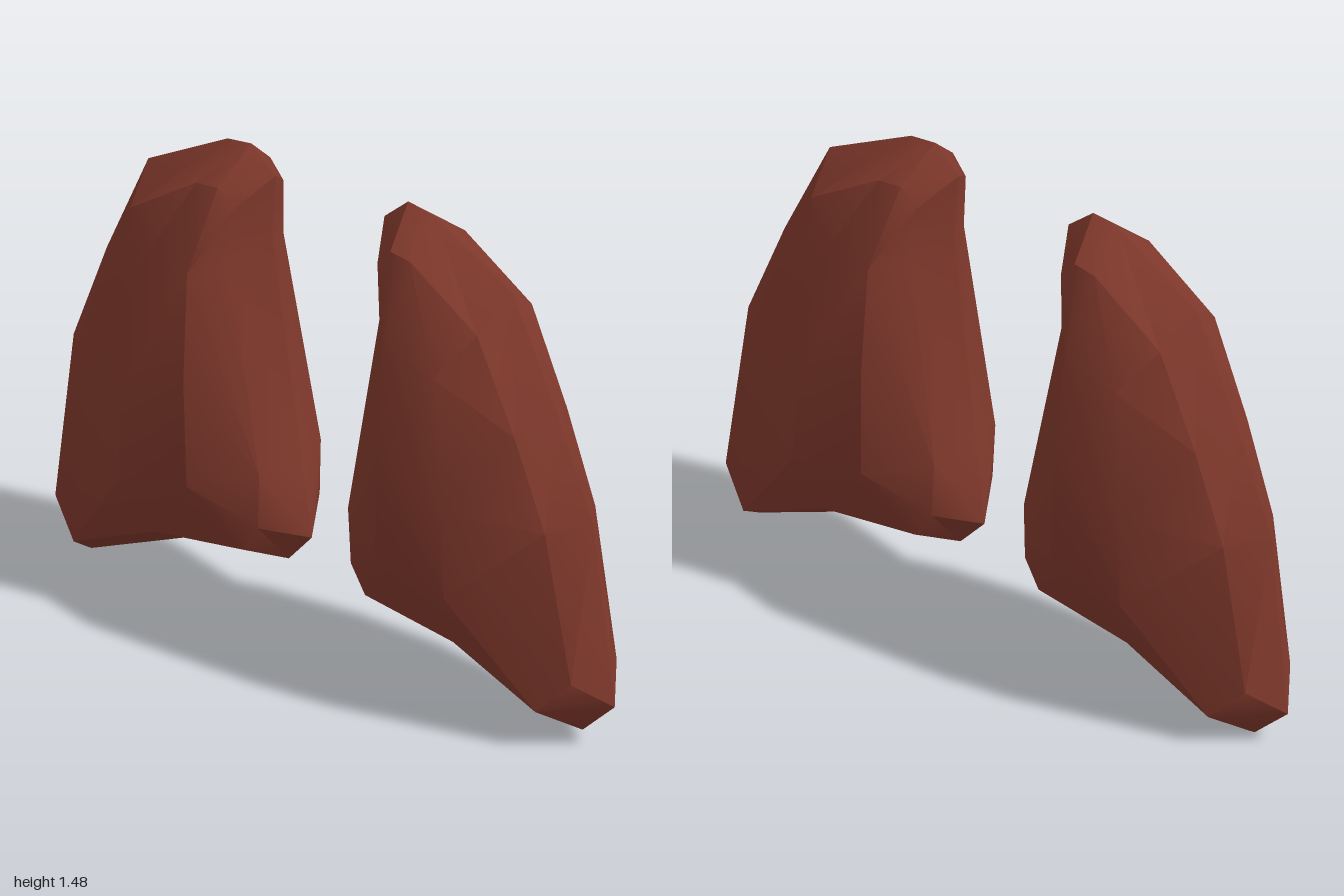
import * as THREE from 'three';
import { toCreasedNormals } from 'three/addons/utils/BufferGeometryUtils.js';

// Outer rim of one lung at z = 0, from the inner top, clockwise
const rim = [
  [0.17, 1.41], [0.255, 1.485], [0.34, 1.475], [0.63, 1.325], [0.79, 1.0], [0.92, 0.69], [0.995, 0.145],
  [0.88, 0.035], [0.53, 0.175], [0.165, 0.22], [0.08, 0.31], [0.105, 0.53], [0.19, 1.21],
].map(([x, y]) => [x, y, 0]);

// Bevel ring, one point for each rim point
const ring = [
  [0.235, 1.33, 0.11], [0.285, 1.385, 0.115], [0.36, 1.38, 0.12], [0.6, 1.23, 0.12], [0.73, 0.95, 0.115],
  [0.835, 0.68, 0.11], [0.92, 0.23, 0.1], [0.825, 0.13, 0.14], [0.53, 0.25, 0.14], [0.215, 0.29, 0.14],
  [0.16, 0.37, 0.135], [0.15, 0.54, 0.135], [0.25, 1.16, 0.12],
];

// Raised middle: three rows, inner then outer point
const crown = [
  [0.33, 1.14, 0.205], [0.51, 1.1, 0.205],
  [0.33, 0.82, 0.235], [0.56, 0.71, 0.235],
  [0.33, 0.49, 0.235], [0.575, 0.44, 0.235],
];

function lungGeometry(side) {
  const positions = [];
  const [a, b, c, d, e, f] = crown;
  const r = ring;
  const n = rim.length;

  const faces = [
    // Crown
    [a, c, d, b], [c, e, f, d],
    // Top slope
    [r[12], r[0], a], [r[0], r[1], a], [r[1], r[2], a], [r[2], r[3], b, a],
    // Outer slope
    [r[3], r[4], b], [r[4], r[5], d, b], [r[5], r[6], f, d],
    // Bottom slope
    [r[6], r[7], f], [r[7], r[8], f], [r[8], r[9], e, f],
    // Inner slope
    [r[9], r[10], e], [r[10], r[11], e], [r[11], c, e], [r[11], r[12], a, c],
  ];
  // Bevel between rim and ring
  for (let i = 0; i < n; i++) {
    const j = (i + 1) % n;
    faces.push([rim[i], rim[j], r[j], r[i]]);
  }

  // Every front triangle faces +z; the back is its mirror image
  const addTriangle = (p, q, s) => {
    const cross = (q[0] - p[0]) * (s[1] - p[1]) - (q[1] - p[1]) * (s[0] - p[0]);
    const front = cross * side > 0 ? [p, q, s] : [p, s, q];
    const back = [front[0], front[2], front[1]];
    front.forEach(([x, y, z]) => positions.push(side * x, y, z));
    back.forEach(([x, y, z]) => positions.push(side * x, y, -z));
  };
  for (const face of faces) {
    for (let k = 1; k < face.length - 1; k++) addTriangle(face[0], face[k], face[k + 1]);
  }

  const geometry = new THREE.BufferGeometry();
  geometry.setAttribute('position', new THREE.Float32BufferAttribute(positions, 3));
  return toCreasedNormals(geometry, 0.5);
}

export function createModel() {
  const model = new THREE.Group();
  model.name = 'lungs';
  const material = new THREE.MeshStandardMaterial({ color: 0x833a2d });

  const leftLung = new THREE.Mesh(lungGeometry(1), material);
  leftLung.name = 'leftLung';

  // The right lung is mirrored and tilted slightly
  const rightLung = new THREE.Mesh(lungGeometry(-1), material);
  rightLung.name = 'rightLung';
  rightLung.rotation.z = 0.035;

  model.add(leftLung, rightLung);
  return model;
}
